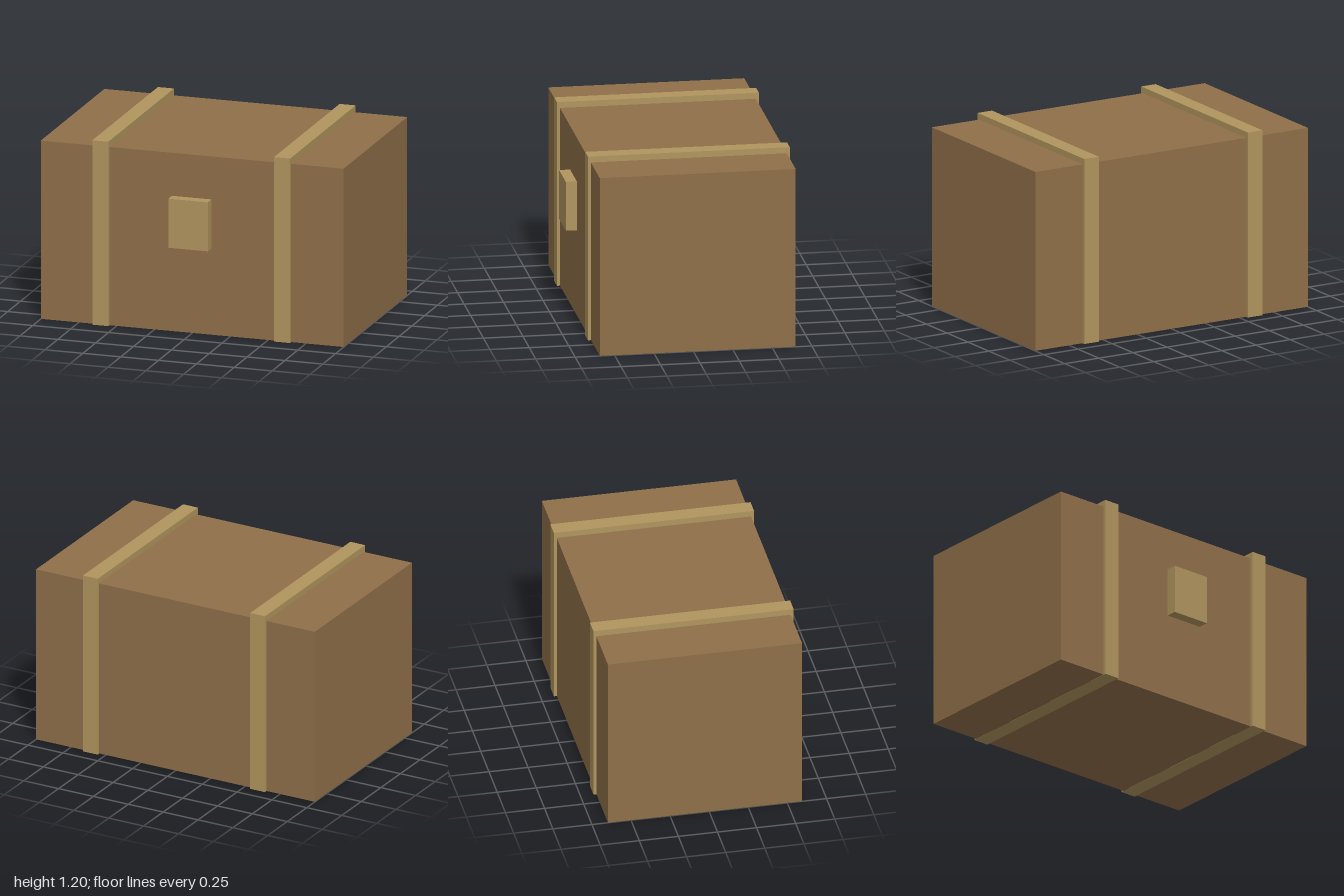
import * as THREE from 'three';

export function createModel() {
  const wood = new THREE.MeshStandardMaterial({ color: 0x8f6f49 });
  wood.name = 'brown wood';
  const brass = new THREE.MeshStandardMaterial({ color: 0xb0955e });
  brass.name = 'dull brass';

  const model = new THREE.Group();
  model.name = 'chest';

  // Box given by its lower and upper limits on each axis
  function addBox(name, material, [x0, x1], [y0, y1], [z0, z1]) {
    const mesh = new THREE.Mesh(new THREE.BoxGeometry(x1 - x0, y1 - y0, z1 - z0), material);
    mesh.position.set((x0 + x1) / 2, (y0 + y1) / 2, (z0 + z1) / 2);
    mesh.name = name;
    model.add(mesh);
  }

  // Chest body, a hair above the strap undersides
  addBox('body', wood, [-1, 1], [0.001, 1.161], [-0.648, 0.594]);

  // Straps wrapped around the body
  for (const [name, x] of [['leftStrap', 0.6], ['rightStrap', -0.6]]) {
    addBox(name, brass, [x - 0.053, x + 0.053], [0, 1.2], [-0.667, 0.613]);
  }

  // Clasp on the front
  addBox('clasp', brass, [-0.133, 0.129], [0.563, 0.882], [0.597, 0.667]);

  return model;
}
